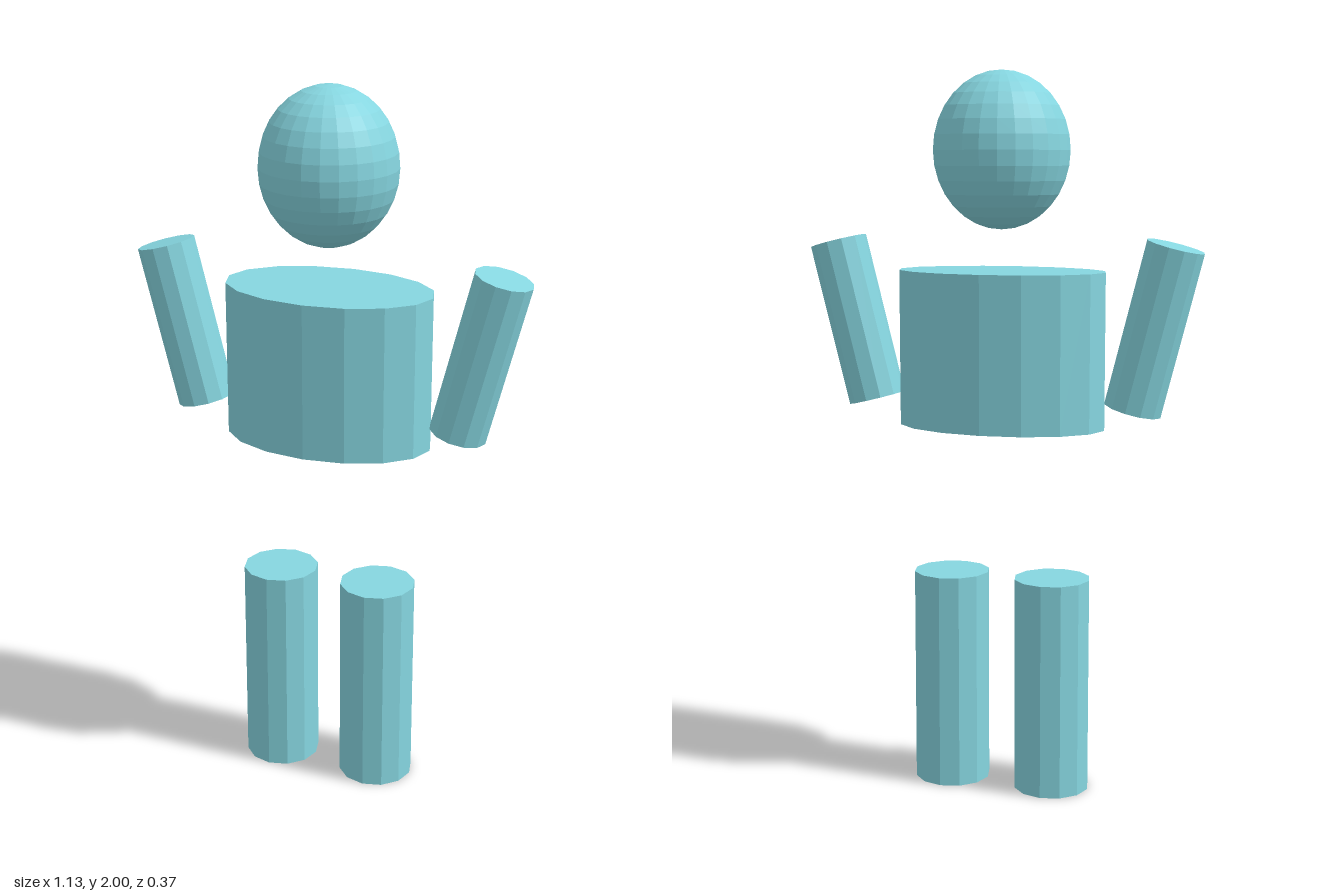
import * as THREE from 'three';

export function createModel() {
  const group = new THREE.Group();
  const paleTeal = new THREE.MeshStandardMaterial({ color: 0x86d6e0, flatShading: true });
  paleTeal.name = 'paleTeal';

  const add = (name, geometry, x, y) => {
    const mesh = new THREE.Mesh(geometry, paleTeal);
    mesh.name = name;
    mesh.position.set(x, y, 0);
    group.add(mesh);
    return mesh;
  };

  // Head: a slightly tall faceted ball
  add('head', new THREE.SphereGeometry(0.187, 24, 16).scale(1, 1.14, 1), 0, 1.787);

  // Torso: an oval drum
  add('torso', new THREE.CylinderGeometry(0.187, 0.187, 0.43, 16).scale(1.58, 1, 1), 0, 1.247);

  // Arms lean outward, legs stand straight
  for (const [side, s] of [['left', 1], ['right', -1]]) {
    const arm = add(side + 'Arm', new THREE.CylinderGeometry(0.08, 0.08, 0.456, 12), s * 0.43, 1.315);
    arm.rotation.z = -s * 0.25;
    add(side + 'Leg', new THREE.CylinderGeometry(0.107, 0.107, 0.608, 12), s * 0.149, 0.304);
  }

  return group;
}
